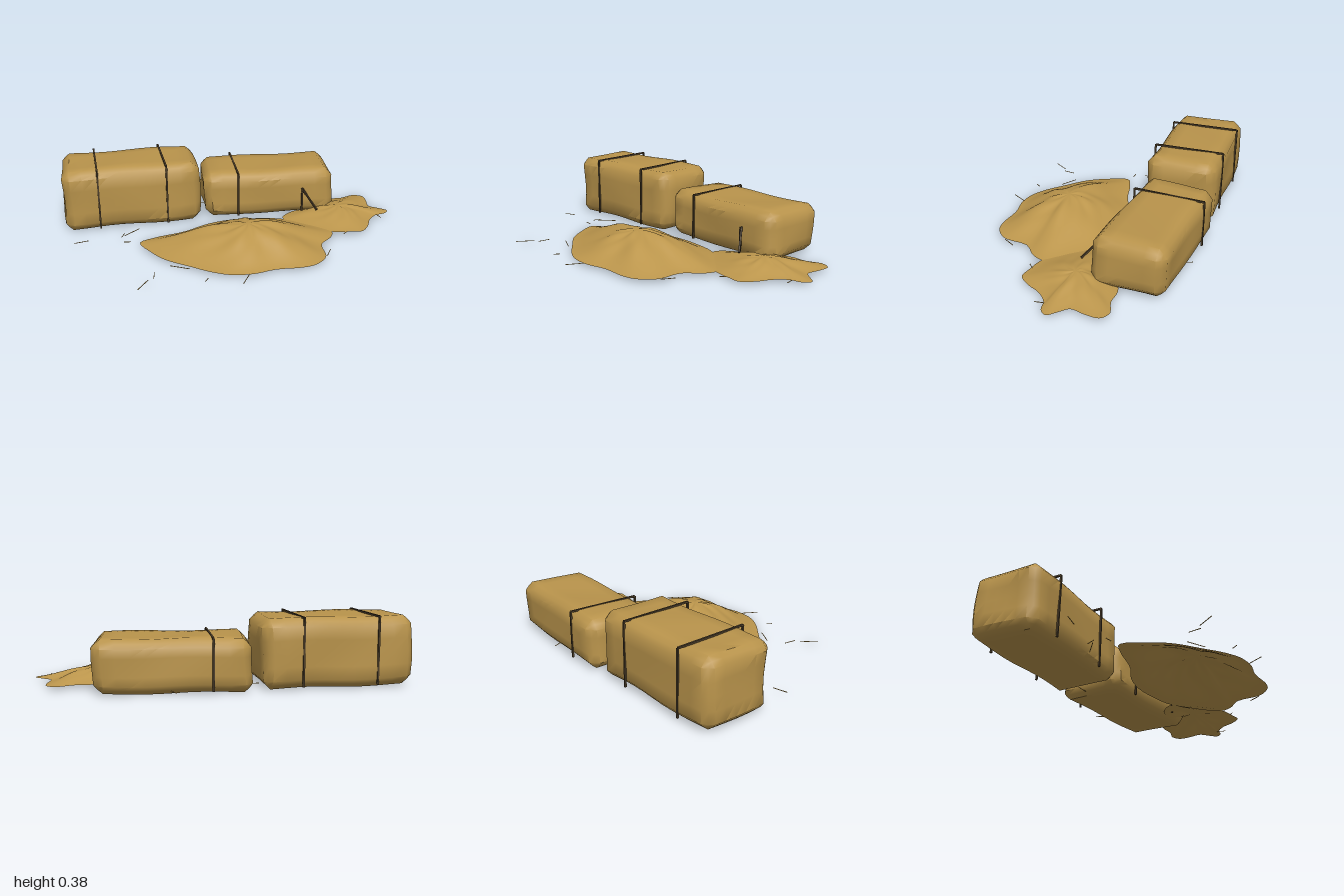
import * as THREE from 'three';
import { mergeVertices, toCreasedNormals } from 'three/addons/utils/BufferGeometryUtils.js';

const baleStraw = new THREE.MeshStandardMaterial({ color: 0xb8934b });
baleStraw.name = 'bale straw';
const looseStraw = new THREE.MeshStandardMaterial({ color: 0xbc964c, side: THREE.DoubleSide });
looseStraw.name = 'loose straw';
const strapBrown = new THREE.MeshStandardMaterial({ color: 0x4a3c28 });
strapBrown.name = 'strap brown';

function add(parent, geometry, material, name) {
  const mesh = new THREE.Mesh(geometry, material);
  mesh.name = name;
  parent.add(mesh);
  return mesh;
}

// Thin square bar between two points
function bar(parent, from, to, thickness, material, name) {
  const a = new THREE.Vector3(...from), b = new THREE.Vector3(...to);
  const mesh = add(parent, new THREE.BoxGeometry(thickness, thickness, a.distanceTo(b)), material, name);
  mesh.position.copy(a).add(b).multiplyScalar(0.5);
  mesh.lookAt(b);
}

// Chamfered block with softly uneven faces
function baleGeometry(w, h, d, seed) {
  const bevel = 0.045, segs = [12, 6, 7], half = [w / 2, h / 2, d / 2];
  let g = new THREE.BoxGeometry(2, 2, 2, ...segs);
  g.deleteAttribute('normal');
  g.deleteAttribute('uv');
  g = mergeVertices(g, 1e-4);
  const p = g.attributes.position;
  for (let i = 0; i < p.count; i++) {
    const u = [p.getX(i), p.getY(i), p.getZ(i)];
    const outer = u.filter(v => Math.abs(v) > 0.999).length;
    const pull = [0, 0, 0.46, 0.64][outer] * bevel;
    const [x, y, z] = u.map((v, k) => {
      if (Math.abs(v) > 0.999) return Math.sign(v) * (half[k] - pull);
      return v / (1 - 2 / segs[k]) * (half[k] - bevel);
    });
    p.setXYZ(i,
      x + 0.007 * Math.sin(13 * y + 9 * z + seed),
      y + 0.004 * Math.sin(11 * x + 8 * z + seed * 2),
      z + 0.004 * Math.sin(9 * x + 12 * y + seed * 3));
  }
  return toCreasedNormals(g, 0.75);
}

// Bale with straps running down the front, over the top and down the back
function makeBale(name, [w, h, d], position, turn, seed, straps) {
  const bale = new THREE.Group();
  bale.name = name;
  add(bale, baleGeometry(w, h, d, seed), baleStraw, 'baleBody');
  const top = h / 2 + 0.002, low = -h / 2 + 0.012, side = d / 2 + 0.003;
  for (const x of straps) {
    for (const s of [-1, 1]) bar(bale, [x, low, s * side], [x, top, s * side], 0.01, strapBrown, 'strapSide');
    bar(bale, [x, top, -side], [x, top, side], 0.01, strapBrown, 'strapTop');
  }
  bale.position.set(...position);
  bale.rotation.y = turn;
  return bale;
}

// Mound rising from an irregular ground outline to a rumpled peak
function moundGeometry(outline, [cx, cz], height, ridge) {
  const curve = new THREE.CatmullRomCurve3(outline.map(([x, z]) => new THREE.Vector3(x, 0, z)), true);
  const n = 72, rings = 14, pos = [], index = [];
  for (let r = 0; r <= rings; r++) {
    const t = r / rings;
    for (let i = 0; i < n; i++) {
      const e = curve.getPoint(i / n);
      const a = Math.atan2(e.z - cz, e.x - cx);
      const bump = ridge * Math.sin(Math.PI * t) * (1 - t) * (Math.sin(5 * a + 6 * t + 1) + 0.7 * Math.sin(9 * a - 11 * t));
      const y = 0.02 + height * Math.cos(Math.PI * t / 2) ** 1.4 + bump;
      pos.push(cx + (e.x - cx) * t, y, cz + (e.z - cz) * t);
      if (r < rings) {
        const j = (i + 1) % n, a0 = r * n + i, a1 = r * n + j;
        if (r > 0) index.push(a0, a1, a1 + n);
        index.push(a0, a1 + n, a0 + n);
      }
    }
  }
  const g = new THREE.BufferGeometry();
  g.setAttribute('position', new THREE.Float32BufferAttribute(pos, 3));
  g.setIndex(index);
  const merged = mergeVertices(g, 1e-5);
  merged.computeVertexNormals();
  return merged;
}

export function createModel() {
  const model = new THREE.Group();
  model.name = 'strawBales';

  model.add(makeBale('tallBale', [0.815, 0.37, 0.41], [-0.585, 0.195, -0.4], 0.03, 0.6, [-0.205, 0.2]));
  model.add(makeBale('lowBale', [0.81, 0.28, 0.405], [0.272, 0.147, -0.42], -0.047, 2.1, [-0.2]));

  // Snapped strap hanging off the low bale
  bar(model, [0.46, 0.03, -0.19], [0.46, 0.18, -0.19], 0.01, strapBrown, 'brokenStrapUpright');
  bar(model, [0.46, 0.18, -0.2], [0.53, 0.07, -0.1], 0.01, strapBrown, 'brokenStrapEnd');

  // Straw heaps
  const large = [[-0.57, 0.05], [-0.48, 0], [-0.3, -0.05], [-0.15, -0.13], [0, -0.165], [0.2, -0.15],
    [0.31, -0.12], [0.43, -0.03], [0.52, 0.05], [0.56, 0.12], [0.53, 0.19], [0.45, 0.27], [0.43, 0.42], [0.35, 0.5],
    [0.27, 0.52], [0.12, 0.515], [0, 0.54], [-0.12, 0.53], [-0.22, 0.48], [-0.32, 0.4], [-0.45, 0.29], [-0.52, 0.18]];
  add(model, moundGeometry(large, [0.03, 0.2], 0.138, 0.007), looseStraw, 'largeHeap');
  const small = [[0.62, -0.34], [0.69, -0.37], [0.78, -0.37], [0.87, -0.4], [0.925, -0.37], [0.925, -0.29],
    [0.91, -0.21], [0.95, -0.17], [1, -0.12], [0.97, -0.08], [0.9, -0.06], [0.84, 0], [0.8, 0.08],
    [0.74, 0.145], [0.67, 0.14], [0.56, 0.12], [0.46, 0.05], [0.38, -0.04], [0.32, -0.13], [0.41, -0.22], [0.54, -0.25]];
  add(model, moundGeometry(small, [0.67, -0.13], 0.058, 0.004), looseStraw, 'smallHeap');

  // Scattered stalks: x, z of each end
  const stalks = [[-0.94, -0.01, -0.86, -0.03], [-0.67, -0.04, -0.65, -0.09], [-0.65, -0.06, -0.56, -0.14],
    [-0.66, 0.025, -0.62, 0.03], [-0.43, 0.365, -0.33, 0.42], [-0.53, 0.49, -0.52, 0.42],
    [-0.62, 0.59, -0.56, 0.5], [-0.27, 0.57, -0.25, 0.54], [-0.08, 0.63, -0.03, 0.54],
    [0.44, 0.41, 0.48, 0.34], [0.62, 0.16, 0.65, 0.13], [0.92, -0.02, 0.91, -0.08],
    [0.27, -0.64, 0.3, -0.58], [-0.19, -0.46, -0.12, -0.46]];
  for (const [x0, z0, x1, z1] of stalks) {
    bar(model, [x0, 0.02, z0], [x1, 0.02, z1], 0.003, looseStraw, 'stalk');
  }
  return model;
}
